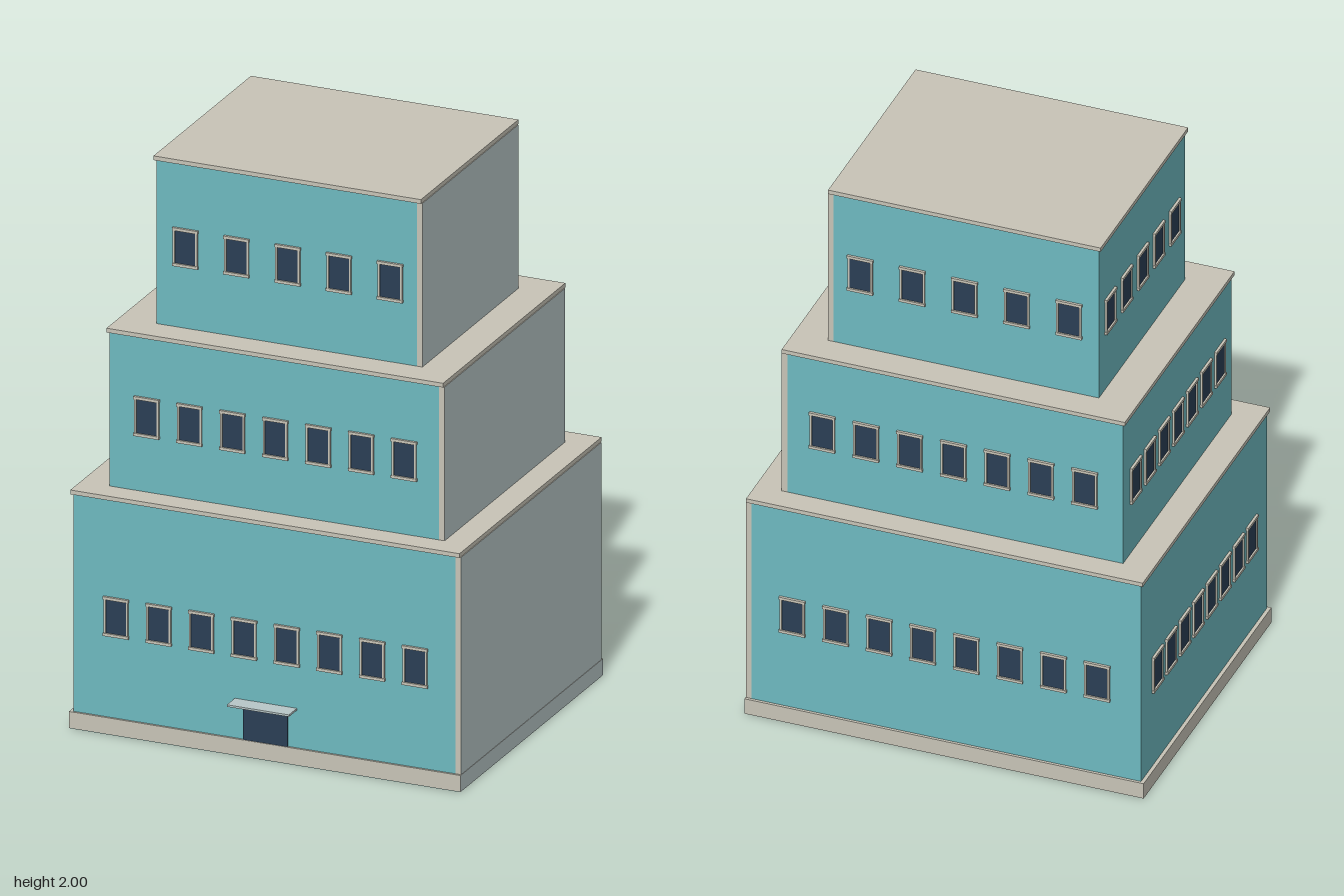
import * as THREE from 'three';

const mat = (name, color) => {
  const m = new THREE.MeshStandardMaterial({ color });
  m.name = name;
  return m;
};

export function createModel() {
  const teal = mat('teal wall', 0x6fbbc1);
  const stone = mat('stone trim', 0xc9c5b8);
  const glass = mat('dark glass', 0x2b3f56);
  const pale = mat('pale panel', 0xb9c8c9);
  const model = new THREE.Group();
  model.name = 'steppedBuilding';

  // Box given by its minimum and maximum along each axis
  function box(parent, name, material, [x0, x1], [y0, y1], [z0, z1]) {
    const mesh = new THREE.Mesh(new THREE.BoxGeometry(x1 - x0, y1 - y0, z1 - z0), material);
    mesh.position.set((x0 + x1) / 2, (y0 + y1) / 2, (z0 + z1) / 2);
    mesh.name = name;
    parent.add(mesh);
    return mesh;
  }

  // One framed window on a wall facing +z
  function makeWindow(y0, y1) {
    const g = new THREE.Group();
    g.name = 'window';
    box(g, 'windowPane', glass, [-0.037, 0.037], [y0 + 0.008, y1 - 0.008], [-0.002, 0.003]);
    for (const s of [-1, 1]) {
      const xs = [s * 0.037, s * 0.044].sort((a, b) => a - b);
      box(g, 'windowJamb', stone, xs, [y0, y1], [-0.002, 0.007]);
    }
    box(g, 'windowSill', stone, [-0.046, 0.046], [y0 - 0.002, y0 + 0.008], [-0.002, 0.009]);
    box(g, 'windowLintel', stone, [-0.046, 0.046], [y1 - 0.008, y1 + 0.002], [-0.002, 0.009]);
    return g;
  }

  // Evenly spaced row of windows, turned to face its wall
  function windowRow(parent, name, count, span, y, position, turn) {
    const row = new THREE.Group();
    row.name = name;
    for (let i = 0; i < count; i++) {
      const w = makeWindow(...y);
      w.position.x = -span / 2 + (span * i) / (count - 1);
      row.add(w);
    }
    row.position.set(...position);
    row.rotation.y = turn;
    parent.add(row);
  }

  // Only the outer face (+x) of the blank side is pale
  const sideMaterials = [pale, stone, stone, stone, stone, stone];

  const tiers = [
    { name: 'lowerTier', x: [-0.695, 0.685], y: [0, 0.83], z: [-0.595, 0.54], n: 8, span: 1.08, sideSpan: 0.85, win: [0.35, 0.485] },
    { name: 'middleTier', x: [-0.6, 0.59], y: [0.84, 1.39], z: [-0.515, 0.46], n: 7, span: 0.93, sideSpan: 0.76, win: [1.042, 1.178] },
    { name: 'upperTier', x: [-0.475, 0.465], y: [1.4, 1.985], z: [-0.415, 0.36], n: 5, span: 0.74, sideSpan: 0.58, win: [1.624, 1.756] },
  ];

  for (const t of tiers) {
    const g = new THREE.Group();
    g.name = t.name;
    model.add(g);
    const [x0, x1] = t.x, [z0, z1] = t.z, top = t.y[1];
    box(g, 'walls', teal, t.x, t.y, t.z);
    box(g, 'blankSideWall', sideMaterials, [x1, x1 + 0.02], t.y, t.z);
    box(g, 'roofSlab', stone, [x0 - 0.009, x1 + 0.017], [top, top + 0.015], [z0 - 0.008, z1 + 0.006]);

    // Windows on the front, the back and the -x side
    const mid = (x0 + x1) / 2 + 0.005;
    windowRow(g, 'frontWindows', t.n, t.span, t.win, [mid, 0, z1], 0);
    windowRow(g, 'backWindows', t.n, t.span, t.win, [mid, 0, z0], Math.PI);
    windowRow(g, 'sideWindows', t.n, t.sideSpan, t.win, [x0, 0, (z0 + z1) / 2], -Math.PI / 2);
  }

  // Plinth around the foot, slightly above the underside of the walls
  box(model, 'plinth', sideMaterials, [-0.708, 0.7065], [0.002, 0.06], [-0.605, 0.548]);
  box(model, 'underside', teal, [-0.705, 0.704], [0, 0.004], [-0.602, 0.546]);

  // Entrance
  box(model, 'door', glass, [-0.08, 0.08], [0.06, 0.182], [0.538, 0.545]);
  box(model, 'doorCanopy', pale, [-0.112, 0.112], [0.193, 0.2], [0.535, 0.605]);

  return model;
}
